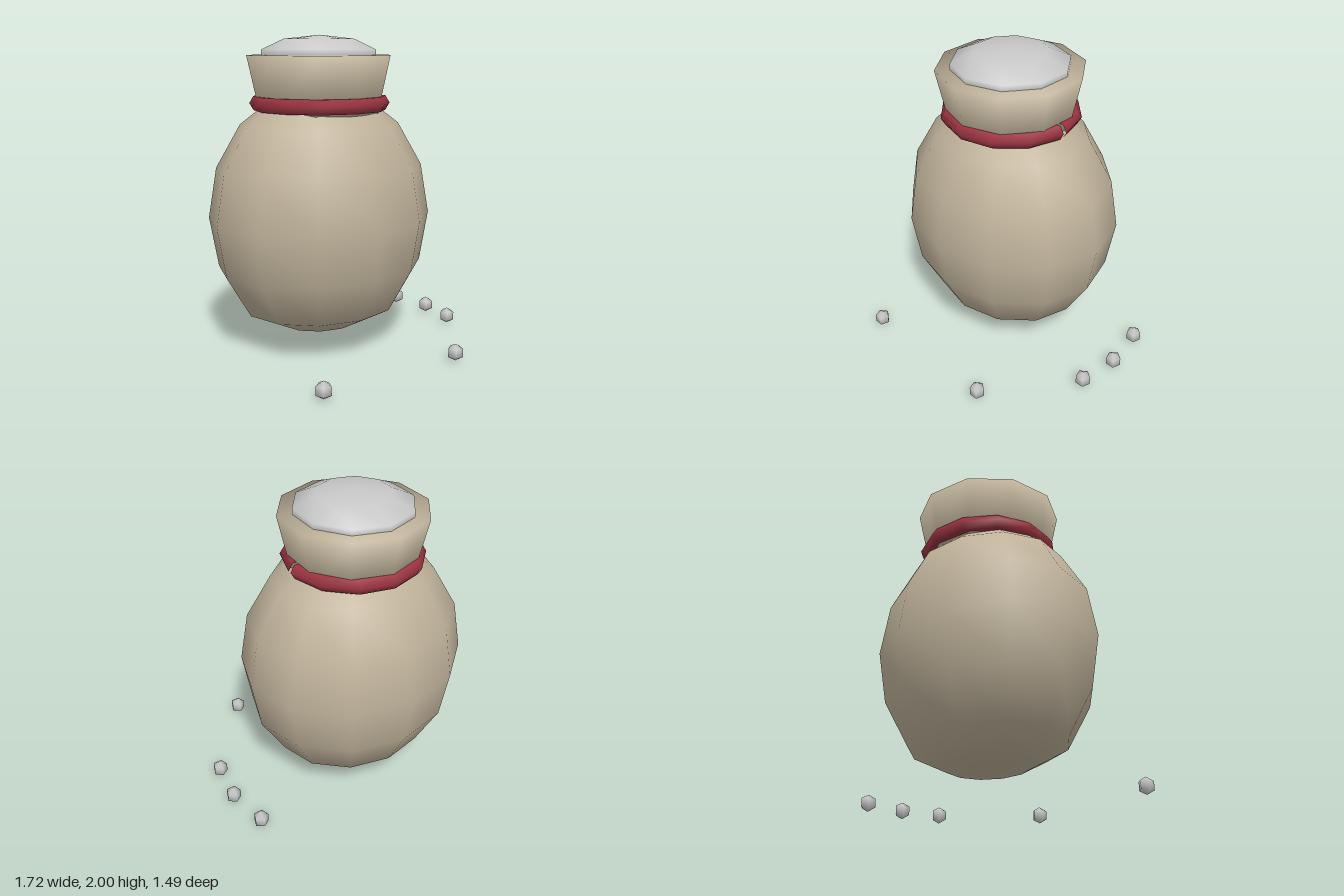
import * as THREE from 'three';
import { mergeVertices } from 'three/addons/utils/BufferGeometryUtils.js';

const flat = (name, color) => {
  const m = new THREE.MeshStandardMaterial({ color });
  m.name = name;
  return m;
};

// Weld shared corners so shading runs smoothly over every edge
function smooth(geometry) {
  geometry.deleteAttribute('uv');
  geometry.deleteAttribute('normal');
  const g = mergeVertices(geometry, 1e-4);
  g.computeVertexNormals();
  return g;
}

export function createModel() {
  const group = new THREE.Group();
  const cloth = flat('beige cloth', 0xc0b39b);
  const cord = flat('red cord', 0x9b3341);
  const silver = flat('silver', 0xc8c8c8);

  const add = (name, geometry, material, x, y, z) => {
    const mesh = new THREE.Mesh(geometry, material);
    mesh.name = name;
    mesh.position.set(x, y, z);
    group.add(mesh);
    return mesh;
  };

  const cx = -0.12, cz = -0.095;

  // Bulging sack with a flattened base
  const sack = new THREE.SphereGeometry(1, 12, 8).scale(0.74, 0.84, 0.65);
  const p = sack.attributes.position;
  for (let i = 0; i < p.count; i++) p.setY(i, Math.max(p.getY(i), -0.71));
  add('sackBody', smooth(sack), cloth, cx, 0.85, cz);

  // Flared neck, closed at the top
  const neck = new THREE.CylinderGeometry(0.465, 0.387, 0.36, 10);
  add('sackNeck', smooth(neck), cloth, cx, 1.695, cz);

  // Cord tied round the neck, with a narrow gap at its ends
  const tie = new THREE.TorusGeometry(0.394, 0.052, 6, 12, Math.PI * 2 - 0.05);
  tie.rotateX(Math.PI / 2).rotateY(-0.025);
  add('neckCord', smooth(tie), cord, cx, 1.576, cz);

  // Heaped contents
  const heap = new THREE.SphereGeometry(0.39, 10, 5).scale(1, 1 / 3, 1).rotateY(-Math.PI / 2);
  add('heapedContents', smooth(heap), silver, cx, 1.87, cz);

  // Scattered nuggets on the ground
  const nugget = smooth(new THREE.SphereGeometry(0.055, 5, 3).rotateY(-Math.PI / 2));
  const spots = [[-0.615, 0.7], [0.36, 0.705], [0.81, -0.11], [0.76, -0.395], [0.775, 0.16]];
  spots.forEach(([x, z], i) => add('nugget' + (i + 1), nugget, silver, x, 0.055, z));

  return group;
}
